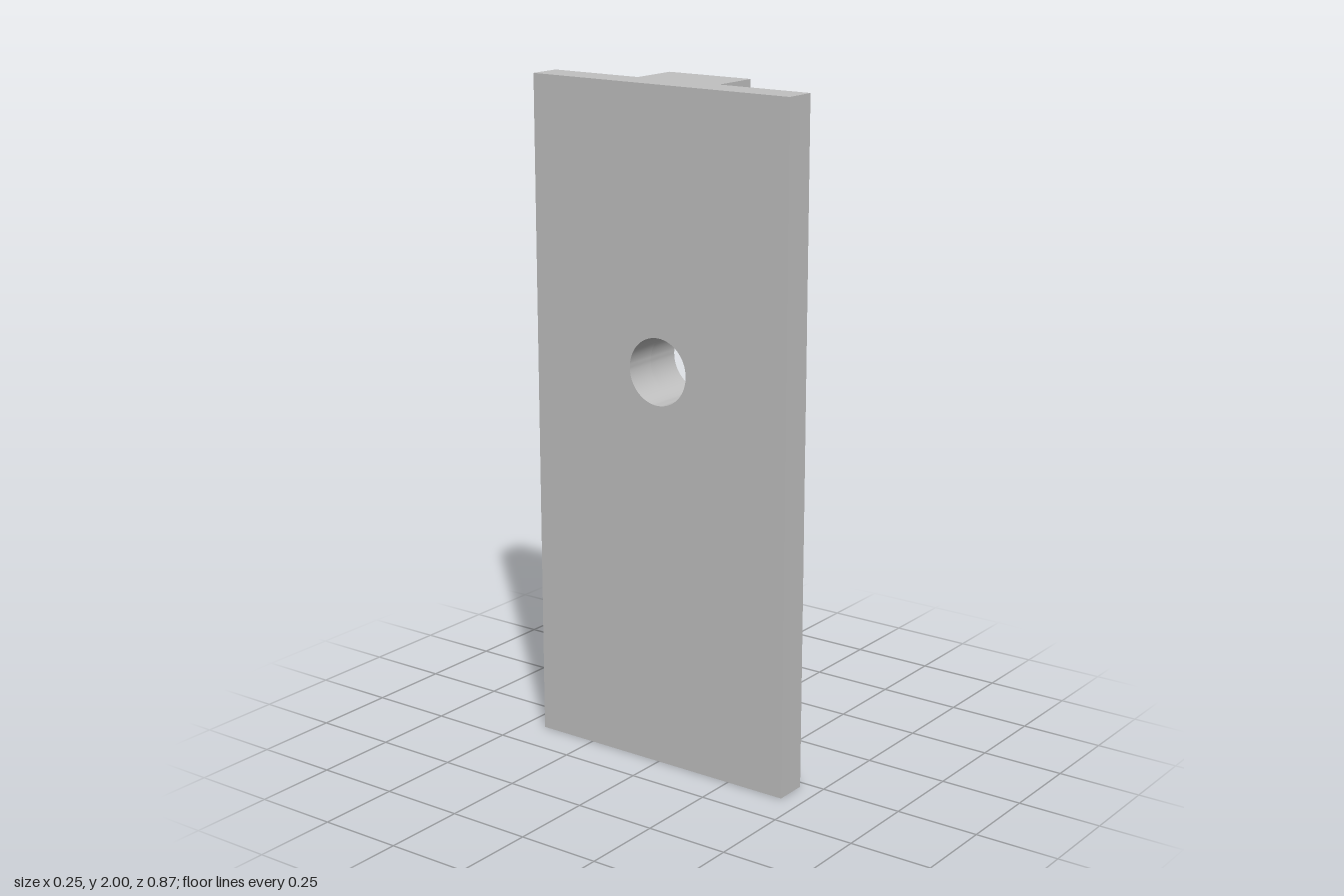
import * as THREE from 'three';
import { toCreasedNormals } from 'three/addons/utils/BufferGeometryUtils.js';

const BACK = -0.125, FACE = -0.026;          // plate's two sides along x
const HALF = 0.436;                          // half the plate's width
const RING = { y: 1.19, outer: 0.152, inner: 0.0985 };

export function createModel() {
  const group = new THREE.Group();
  const grey = new THREE.MeshStandardMaterial({ color: 0xc0c0c0 });
  grey.name = 'plain grey';

  // Profiles are drawn as (-z, y) and extruded along +x.
  function addPart(name, shape, x0, x1) {
    const geometry = new THREE.ExtrudeGeometry(shape, {
      depth: x1 - x0, bevelEnabled: false, curveSegments: 32,
    });
    geometry.rotateY(Math.PI / 2).translate(x0, 0, 0);
    const mesh = new THREE.Mesh(toCreasedNormals(geometry, 0.6), grey);
    mesh.name = name;
    group.add(mesh);
  }

  const rectangle = (half, y0, y1) => new THREE.Shape([
    new THREE.Vector2(-half, y0), new THREE.Vector2(half, y0),
    new THREE.Vector2(half, y1), new THREE.Vector2(-half, y1),
  ]);
  const disc = (u, y, r) => new THREE.Shape().absarc(u, y, r, 0, Math.PI * 2, false);
  const bore = () => new THREE.Path().absarc(0, RING.y, RING.inner, 0, Math.PI * 2, true);

  // Upright plate with a round through-hole
  const plate = rectangle(HALF, 0, 2);
  plate.holes.push(bore());
  addPart('plate', plate, BACK, FACE);

  // Block flush with the top edge
  addPart('topBlock', rectangle(0.14, 1.77, 2), FACE, 0.124);

  // Two round pegs
  addPart('upperPeg', disc(-0.238, 1.69, 0.103), FACE, 0.105);
  addPart('lowerPeg', disc(-0.238, 1.44, 0.103), FACE, 0.105);

  // Collar around the hole
  const collar = disc(0, RING.y, RING.outer);
  collar.holes.push(bore());
  addPart('collar', collar, FACE, 0.088);

  // Low block whose underside follows the collar
  const w = 0.124, a = Math.acos(w / RING.outer);
  const saddle = new THREE.Shape();
  saddle.moveTo(w, 1.44);
  saddle.lineTo(-w, 1.44);
  saddle.absarc(0, RING.y, RING.outer, Math.PI - a, a, true);
  saddle.closePath();
  addPart('saddleBlock', saddle, FACE, 0.05);

  return group;
}
